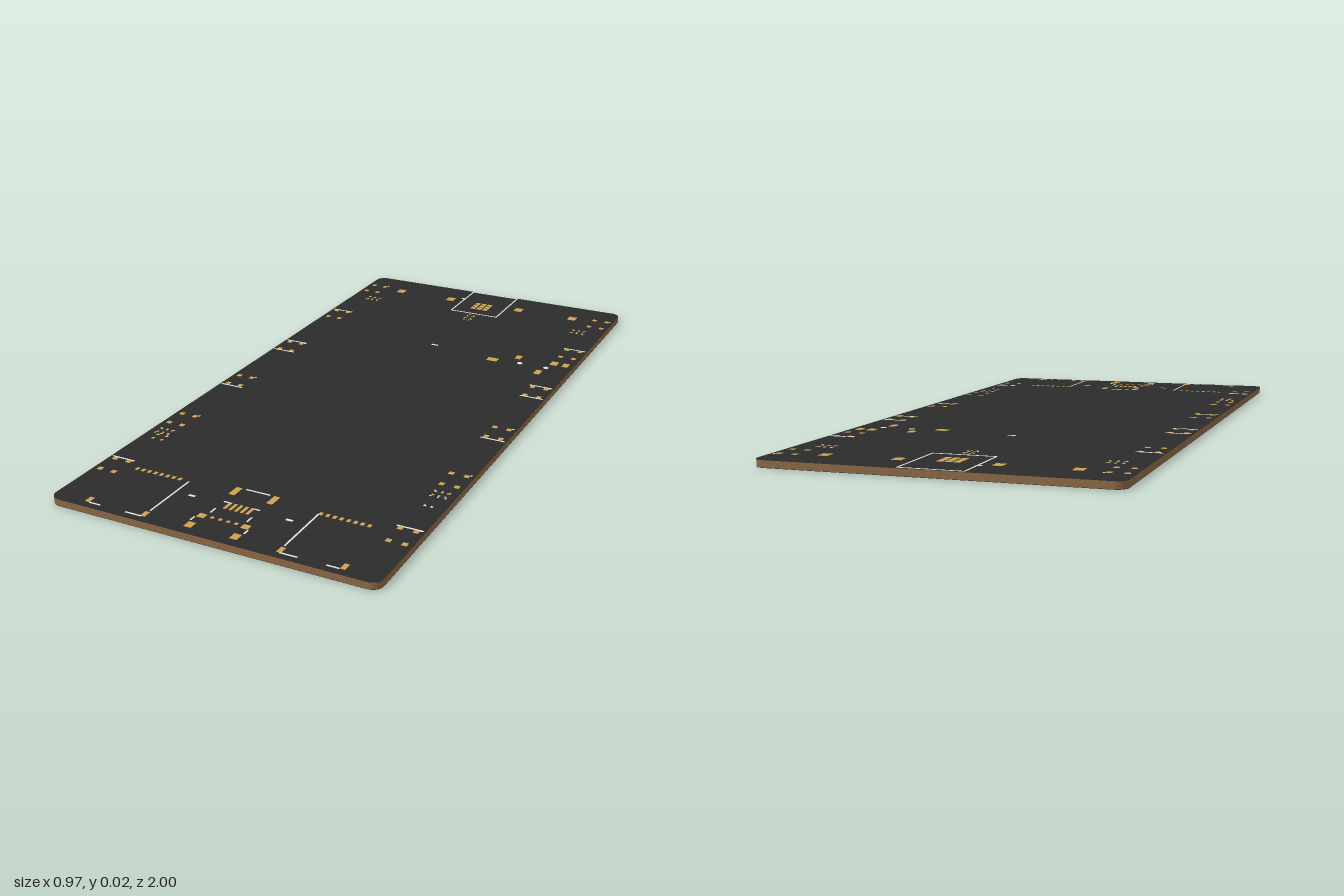
import * as THREE from 'three';
import { mergeGeometries } from 'three/addons/utils/BufferGeometryUtils.js';

const W = 0.97, L = 2, T = 0.021;
const M = (name, color) => Object.assign(new THREE.MeshStandardMaterial({ color }), { name });

// Rounded board outline extruded upwards from y0
function slab(y0, h) {
  const s = new THREE.Shape(), x = W / 2, z = L / 2, r = 0.03;
  s.moveTo(-x + r, -z);
  s.lineTo(x - r, -z).absarc(x - r, -z + r, r, -Math.PI / 2, 0);
  s.lineTo(x, z - r).absarc(x - r, z - r, r, 0, Math.PI / 2);
  s.lineTo(-x + r, z).absarc(-x + r, z - r, r, Math.PI / 2, Math.PI);
  s.lineTo(-x, -z + r).absarc(-x + r, -z + r, r, Math.PI, Math.PI * 1.5);
  return new THREE.ExtrudeGeometry(s, { depth: h, bevelEnabled: false, curveSegments: 6 })
    .rotateX(-Math.PI / 2).translate(0, y0, 0);
}

// Collects thin rectangles on one face of the board
class Layer {
  constructor(y) { this.y = y; this.parts = []; }
  rect(x, z, w, d = w) {
    this.parts.push(new THREE.BoxGeometry(w, 0.0008, d).translate(x, this.y, z));
  }
  dot(x, z, r) {
    this.parts.push(new THREE.CylinderGeometry(r, r, 0.0008, 12).translate(x, this.y, z));
  }
  lineX(x0, x1, z) { this.rect((x0 + x1) / 2, z, Math.abs(x1 - x0), 0.005); }
  lineZ(x, z0, z1) { this.rect(x, (z0 + z1) / 2, 0.005, Math.abs(z1 - z0)); }
  grid(x, z, nx, nz, px, pz, w, d = w) {
    for (let i = 0; i < nx; i++) for (let j = 0; j < nz; j++)
      this.rect(x + (i - (nx - 1) / 2) * px, z + (j - (nz - 1) / 2) * pz, w, d);
  }
  mesh(name, mat) {
    const m = new THREE.Mesh(mergeGeometries(this.parts), mat);
    m.name = name;
    return m;
  }
}

export function createModel() {
  const g = new THREE.Group();
  g.name = 'circuitBoard';
  const core = M('laminate tan', 0x8c6845), mask = M('solder mask black', 0x2b2b2b);
  const gold = M('pad gold', 0xcda050), white = M('silkscreen white', 0xe4e4de);
  const add = (name, geo, mat) => {
    const m = new THREE.Mesh(geo, mat);
    m.name = name;
    g.add(m);
  };
  add('boardCore', slab(0.0015, T - 0.002), core);
  add('topMask', slab(T - 0.0005, 0.001), mask);
  add('bottomMask', slab(0.0006, 0.0009), mask);

  const tp = new Layer(T + 0.0009), ts = new Layer(T + 0.0009);
  const bp = new Layer(0.0004), bs = new Layer(0.0004);

  // Top: radio module with thermal pads and mounting pads
  tp.grid(0, -0.857, 3, 3, 0.023, 0.023, 0.018);
  for (const x of [-0.088, 0.088]) ts.lineZ(x, -0.995, -0.778);
  for (const z of [-0.995, -0.778]) ts.lineX(-0.088, 0.088, z);
  for (const x of [-0.34, -0.135, 0.135, 0.34]) tp.rect(x, -0.885, 0.028, 0.032);
  tp.grid(0, -0.735, 2, 4, 0.016, 0.018, 0.006);
  ts.grid(0, -0.735, 2, 2, 0.028, 0.03, 0.005);
  ts.rect(-0.095, -0.91, 0.01);

  // Top: edge light footprints, small passives and ribbon connectors on both sides
  for (const s of [-1, 1]) {
    for (const z of [-0.868, -0.555, -0.208, 0.119, 0.445, 0.775]) {
      tp.grid(s * 0.441, z, 2, 2, 0.045, 0.068, 0.015);
      ts.rect(s * 0.441 + 0.033, z - 0.042, 0.006);
    }
    for (const z of [-0.598, -0.254, -0.164, 0.166, 0.732])
      ts.lineX(s * 0.405, s * 0.48, z);
    for (const [x, z] of [[0.4, -0.765], [0.44, 0.535]]) {
      for (let i = 0; i < 6; i++) {
        tp.rect(s * (x + (i % 3 - 1) * 0.018), z + (i % 2) * 0.02 - 0.01, 0.007);
        ts.rect(s * (x + (i % 3 - 1) * 0.022), z + (i % 2) * 0.032 - 0.014, 0.005);
      }
    }
    const x0 = s < 0 ? -0.3 : 0.275;
    tp.grid(x0, 0.766, 8, 1, 0.02, 1, 0.01, 0.014);
    ts.lineZ(s * 0.2, 0.768, 0.945);
    tp.rect(s * 0.202, 0.965, 0.014, 0.025);
    tp.rect(s * 0.378, 0.965, 0.014, 0.025);
    ts.lineX(s * 0.205, s * 0.255, 0.978);
    ts.lineX(s * 0.335, s * 0.37, 0.978);
    // Charging port pads
    tp.rect(s * 0.058, 0.758, 0.018, 0.042);
    tp.rect(s * 0.068, 0.96, 0.022, 0.026);
    tp.rect(s * 0.066, 0.908, 0.022, 0.02);
    ts.lineX(s * 0.03, s * 0.055, 0.82);
    ts.lineZ(s * 0.055, 0.86, 0.885);
    ts.lineZ(s * 0.08, 0.92, 0.94);
    ts.rect(s * 0.148, 0.83, 0.02, 0.008);
  }
  tp.grid(-0.43, 0.575, 2, 2, 0.03, 0.025, 0.009);
  ts.grid(0.437, 0.608, 2, 1, 0.02, 1, 0.007);
  tp.grid(0, 0.835, 5, 1, 0.017, 1, 0.009, 0.034);
  tp.grid(0, 0.905, 4, 1, 0.024, 1, 0.01);
  ts.lineX(-0.037, 0.037, 0.738);

  // Top: power pads and alignment marks
  for (const [x, z, w, d] of [[0.222, -0.4, 0.036, 0.026], [0.294, -0.455, 0.02, 0.03],
    [0.394, -0.363, 0.02, 0.035], [0.419, -0.455, 0.024, 0.03], [0.458, -0.455, 0.02, 0.03]])
    tp.rect(x, z, w, d);
  for (const x of [0.315, 0.406]) ts.dot(x, -0.408, 0.009);
  ts.rect(-0.004, -0.435, 0.024, 0.008);

  // Bottom: five by four key footprints
  for (let i = 0; i < 5; i++) for (let j = 0; j < 4; j++) {
    const x = (i - 2) * 0.17, z = 0.16 + j * 0.213;
    bp.grid(x, z, 2, 2, 0.085, 0.055, 0.014, 0.011);
    bp.grid(x, z, 2, 1, 0.03, 1, 0.008);
    for (const s of [-1, 1]) {
      bs.lineX(x - 0.022, x + 0.022, z + s * 0.05);
      bs.lineZ(x + s * 0.05, z - 0.012, z + 0.012);
    }
  }

  // Bottom: thermal pads, processor, test points and passives
  bp.grid(0.21, -0.155, 3, 3, 0.036, 0.036, 0.029);
  bp.rect(-0.256, -0.15, 0.045);
  bp.grid(0.13, -0.68, 1, 6, 1, 0.043, 0.015);
  bp.grid(-0.05, -0.21, 14, 1, 0.018, 1, 0.008, 0.014);
  for (const x of [-0.05, -0.17]) bp.grid(x, -0.435, 1, 15, 1, 0.023, 0.014, 0.008);
  for (const x of [-0.035, -0.185]) bs.lineZ(x, -0.6, -0.27);
  for (const z of [-0.6, -0.255]) bs.lineX(-0.035, -0.185, z);
  for (let i = 0; i < 4; i++) for (let j = 0; j < 4; j++) {
    const x = 0.02 + i * 0.065, z = -0.27 - j * 0.075;
    bp.grid(x, z, 2, 1, 0.024, 1, 0.01);
    bs.lineX(x - 0.012, x + 0.012, z + 0.016);
  }
  for (const [x, z] of [[-0.234, -0.5], [-0.28, -0.73], [-0.19, -0.72], [-0.25, -0.61],
    [-0.09, -0.7], [0, -0.66], [-0.24, -0.38]]) {
    bp.grid(x, z, 2, 3, 0.04, 0.024, 0.011);
    bs.lineX(x - 0.025, x + 0.025, z - 0.045);
  }
  for (const [x, z] of [[0.39, -0.37], [0.3, -0.38], [-0.2, -0.24]]) bp.rect(x, z, 0.018);

  // Bottom: plain silkscreen marks along the back edge
  for (const x of [0.41, 0.3, 0.18]) bs.lineZ(x, -0.9, -0.85);
  bs.grid(-0.02, -0.91, 10, 1, 0.029, 1, 0.012, 0.008);
  bs.grid(-0.37, -0.93, 3, 1, 0.02, 1, 0.01, 0.006);

  g.add(tp.mesh('topPads', gold), ts.mesh('topSilkscreen', white));
  g.add(bp.mesh('bottomPads', gold), bs.mesh('bottomSilkscreen', white));
  return g;
}
